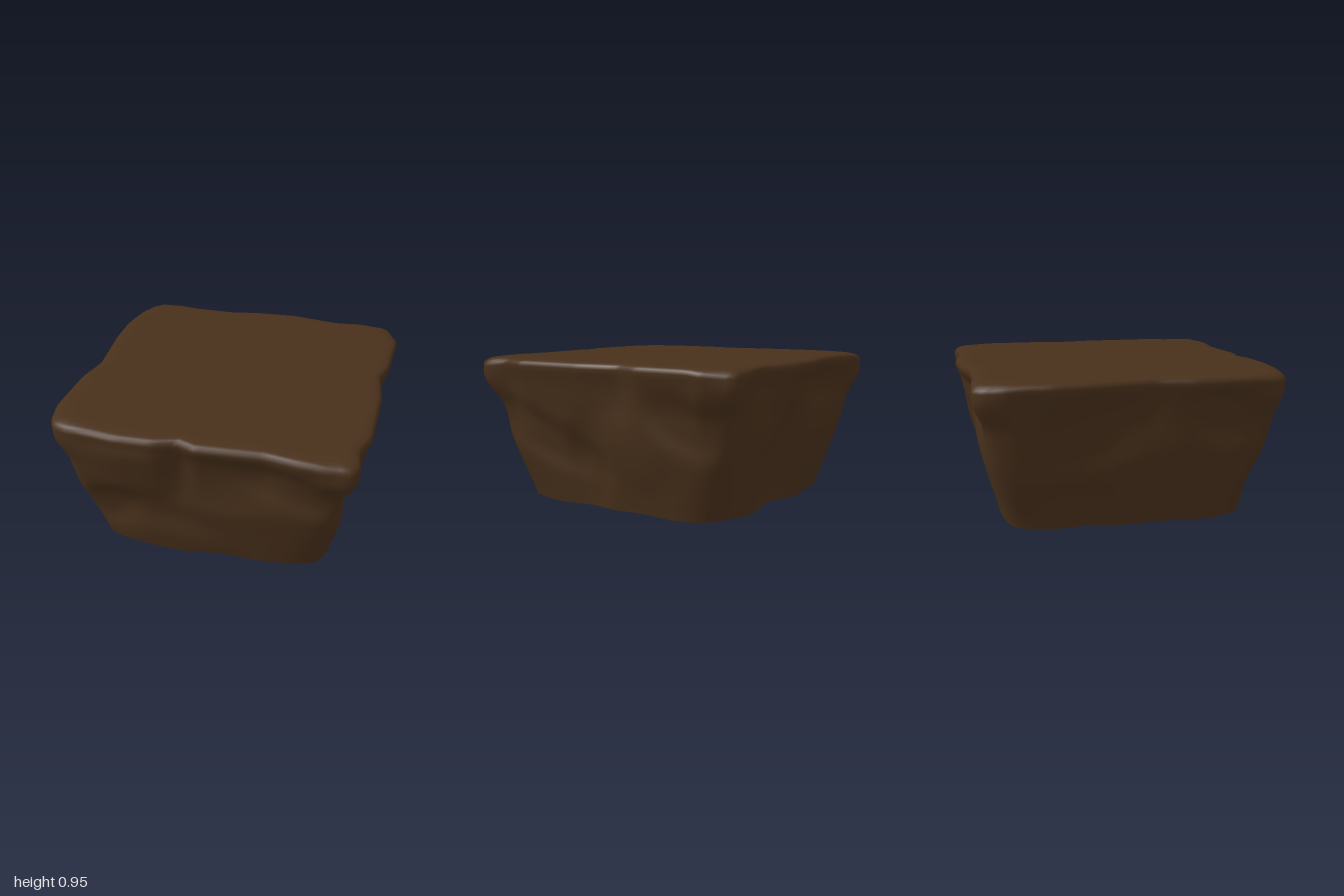
import * as THREE from 'three';

// Upper rim seen from above, as [x, z]
const RIM = [
  [-0.88, -0.97], [-0.93, -0.92], [-0.97, -0.8], [-1, -0.53], [-0.99, -0.3], [-0.94, 0.11], [-0.98, 0.33],
  [-0.98, 0.72], [-0.95, 0.87], [-0.91, 0.93], [-0.83, 0.96], [-0.49, 1], [-0.26, 0.99], [-0.11, 0.94],
  [0, 0.98], [0.41, 0.95], [0.61, 0.98], [0.77, 0.99], [0.92, 0.97], [0.96, 0.9], [0.93, 0.75], [0.98, 0.58],
  [0.98, 0.1], [0.94, -0.18], [0.98, -0.33], [0.99, -0.77], [0.92, -0.95], [0.89, -0.97], [0.76, -0.98],
  [0.53, -0.95], [0.2, -1], [-0.1, -0.98], [-0.29, -0.94], [-0.6, -0.94], [-0.71, -0.96],
];

// Half width of the block at each height, as [y, half width]
const TAPER = [[0, 0.77], [0.25, 0.83], [0.45, 0.88], [0.65, 0.925], [0.83, 0.975], [0.91, 1]];

// Bulges and hollows:
// [face normal x, z, position along face, y, radius along, radius up, amount, slope]
const BUMPS = [
  [0, 1, -0.48, 0.68, 0.32, 0.2, 0.03, 0], [0, 1, -0.62, 0.32, 0.2, 0.16, -0.025, 0.4],
  [0, 1, 0.6, 0.68, 0.32, 0.13, -0.03, -0.24], [0, 1, 0.1, 0.66, 0.3, 0.2, -0.025, 0],
  [0, 1, -0.25, 0.05, 0.35, 0.2, 0.035, 0],
  [1, 0, 0.5, 0.46, 0.42, 0.14, -0.035, 0.36], [1, 0, 0.12, 0.3, 0.14, 0.28, -0.03, 0],
  [1, 0, -0.25, 0.45, 0.22, 0.24, 0.015, 0], [1, 0, -0.62, 0.6, 0.24, 0.15, -0.03, 0.3],
  [0, -1, 0.45, 0.62, 0.26, 0.18, 0.015, 0], [0, -1, 0.12, 0.3, 0.2, 0.34, -0.045, 0],
  [0, -1, -0.35, 0.42, 0.32, 0.26, 0.015, 0], [0, -1, -0.3, 0.78, 0.4, 0.1, -0.025, 0.1],
  [-1, 0, -0.3, 0.6, 0.3, 0.2, -0.025, 0.2], [-1, 0, -0.4, 0.1, 0.3, 0.2, -0.025, 0],
  [-1, 0, 0.55, 0.7, 0.25, 0.16, -0.025, -0.2],
];

const lerp = THREE.MathUtils.lerp;
const smooth = THREE.MathUtils.smoothstep;

function halfWidth(y) {
  for (let i = 1; i < TAPER.length; i++) {
    const [y0, w0] = TAPER[i - 1], [y1, w1] = TAPER[i];
    if (y <= y1) return lerp(w0, w1, (y - y0) / (y1 - y0));
  }
  return 1;
}

// One point of the wall: rim shape above, rounded square below, then the bumps
function wallPoint(p, y) {
  const n = lerp(7, 10, smooth(y, 0, 0.45));
  const k = 1 / Math.pow(Math.abs(p.x) ** n + Math.abs(p.z) ** n, 1 / n);
  const t = smooth(y, 0.4, 0.84), w = halfWidth(y);
  const sx = p.x * k, sz = p.z * k;
  let x = lerp(sx, p.x, t) * w, z = lerp(sz, p.z, t) * w;
  // Corners stay broad just under the rim
  const broad = 1 + 0.02 * cornerness(p) * smooth(y, 0.65, 0.8) * (1 - smooth(y, 0.82, 0.9));
  x *= broad;
  z *= broad;
  const x0 = x, z0 = z, fade = 1 - smooth(y, 0.82, 0.9);
  for (const [nx, nz, u, cy, ru, ry, amount, slope] of BUMPS) {
    const facing = smooth(sx * nx + sz * nz, 0.85, 0.98);
    const along = (nx ? z0 : x0) - u;
    const r2 = (along / ru) ** 2 + ((y - cy - slope * along) / ry) ** 2;
    const d = amount * facing * fade * Math.exp(-r2 * r2 * 0.7);
    x += nx * d;
    z += nz * d;
  }
  return [x, z];
}

// 1 at the four corners, 0 along the sides
function cornerness(p) {
  return smooth(Math.abs(p.x * p.z), 0.65, 0.88);
}

// Wavy lower edge
function lowerEdge(p) {
  return 0.02 + 0.01 * Math.sin(p.x * 9 + 1) + 0.01 * Math.sin(p.z * 11 + 2) * Math.cos(p.x * 2);
}

function blockGeometry() {
  // Zero tension keeps the rim's sides straight between its points
  const curve = new THREE.CatmullRomCurve3(RIM.map(([x, z]) => new THREE.Vector3(x, 0, z)), true, 'catmullrom', 0);
  const N = 200, ROWS = 30;
  const rim = curve.getSpacedPoints(N).slice(0, N);
  const positions = [], index = [];

  // Walls from the open bottom up to the rim, which dips at the corners
  for (let r = 0; r <= ROWS; r++) {
    for (const p of rim) {
      const y = lerp(lowerEdge(p), 0.91 - 0.02 * cornerness(p), r / ROWS);
      const [x, z] = wallPoint(p, y);
      positions.push(x, y, z);
    }
  }
  // Rounded rim and flat top, closing towards the centre: [scale, y, dip at corners]
  const top = [
    [0.993, 0.932, 0.02], [0.98, 0.943, 0.014], [0.96, 0.949, 0.007], [0.93, 0.952, 0.002],
    [0.88, 0.953, 0], [0.5, 0.953, 0], [0.001, 0.953, 0],
  ];
  for (const [s, y, dip] of top) {
    for (const p of rim) positions.push(p.x * s, y - dip * cornerness(p), p.z * s);
  }

  for (let r = 0; r < ROWS + top.length; r++) {
    for (let i = 0; i < N; i++) {
      const a = r * N + i, b = r * N + (i + 1) % N;
      index.push(a, b, b + N, a, b + N, a + N);
    }
  }
  const geometry = new THREE.BufferGeometry();
  geometry.setAttribute('position', new THREE.Float32BufferAttribute(positions, 3));
  geometry.setIndex(index);
  geometry.computeVertexNormals();
  return geometry;
}

export function createModel() {
  const group = new THREE.Group();
  group.name = 'earthBlock';
  const material = new THREE.MeshStandardMaterial({ color: 0x48301b, side: THREE.DoubleSide });
  const block = new THREE.Mesh(blockGeometry(), material);
  block.name = 'rockyShell';
  group.add(block);
  return group;
}
